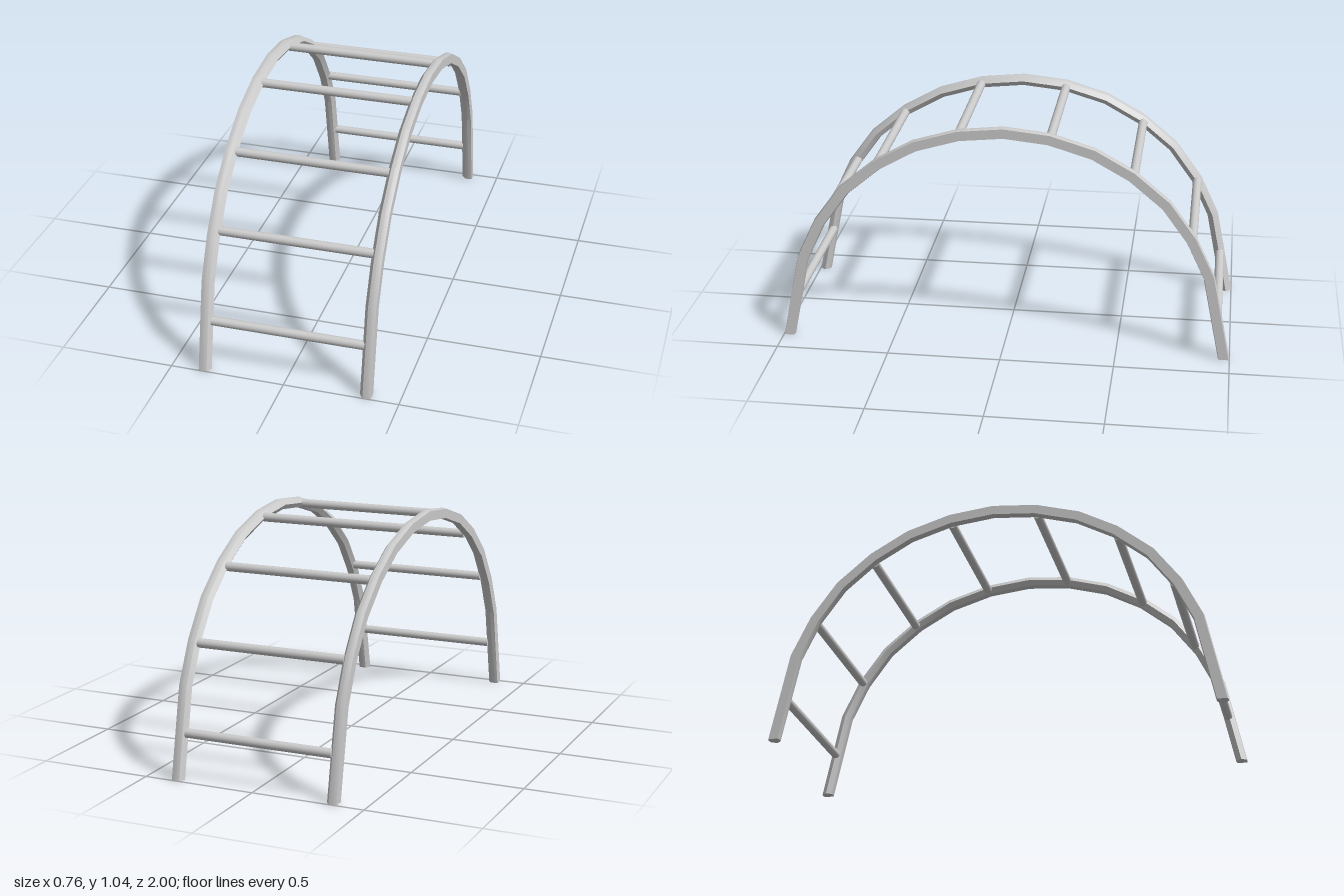
import * as THREE from 'three';
import { toCreasedNormals } from 'three/addons/utils/BufferGeometryUtils.js';

// Half of the arch centre line as [z, y], from the front foot to the crown
const HALF = [[0.975, 0], [0.896, 0.385], [0.814, 0.558], [0.7, 0.715], [0.551, 0.84],
  [0.385, 0.933], [0.195, 0.99], [0, 1.01]];
const PATH = [...HALF, ...HALF.slice(0, -1).reverse().map(([z, y]) => [-z, y])];

// Rail section as [x, outward offset]: flat outside, pointed towards the rungs
const SECTION = [[0.327, 0], [0.343, -0.022], [0.36, -0.025], [0.378, -0.021],
  [0.378, 0.021], [0.36, 0.025], [0.343, 0.022]];

// Rungs as [z, y]
const RUNGS = [[0.926, 0.214], [0.793, 0.579], [0.557, 0.831], [0.196, 0.986],
  [-0.198, 0.986], [-0.557, 0.831], [-0.817, 0.555], [-0.938, 0.195]];

// Outward mitre direction at a path point; the feet are cut level with the ground
function mitre(i) {
  const normal = (k) => {
    const dz = PATH[k + 1][0] - PATH[k][0], dy = PATH[k + 1][1] - PATH[k][1];
    return new THREE.Vector2(dy, -dz).normalize();
  };
  if (i === 0 || i === PATH.length - 1) {
    const n = normal(i === 0 ? 0 : i - 1);
    return new THREE.Vector2(1 / n.x, 0);
  }
  const a = normal(i - 1);
  const m = a.clone().add(normal(i)).normalize();
  return m.divideScalar(m.dot(a));
}

// Sweep the section along the arch and cap both feet
function railGeometry(side) {
  const section = SECTION.map(([x, v]) => [side * x, v]);
  if (side < 0) section.reverse();
  const n = section.length, last = (PATH.length - 1) * n;
  const positions = [], index = [];
  PATH.forEach(([z, y], i) => {
    const m = mitre(i);
    for (const [x, v] of section) positions.push(x, y + m.y * v, z + m.x * v);
  });
  for (let i = 0; i < PATH.length - 1; i++) {
    for (let j = 0; j < n; j++) {
      const a = i * n + j, b = i * n + (j + 1) % n;
      index.push(a, a + n, b + n, a, b + n, b);
    }
  }
  for (let j = 1; j < n - 1; j++) {
    index.push(0, j, j + 1, last, last + j + 1, last + j);
  }
  const geometry = new THREE.BufferGeometry();
  geometry.setAttribute('position', new THREE.Float32BufferAttribute(positions, 3));
  geometry.setIndex(index);
  return toCreasedNormals(geometry, 0.4);
}

export function createModel() {
  const group = new THREE.Group();
  group.name = 'climbingArch';
  const material = new THREE.MeshStandardMaterial({ color: 0xcccccc });

  // Two mirrored arched rails
  for (const side of [1, -1]) {
    const rail = new THREE.Mesh(railGeometry(side), material);
    rail.name = side > 0 ? 'leftRail' : 'rightRail';
    group.add(rail);
  }

  // Round rungs between the rails
  const rungGeometry = new THREE.CylinderGeometry(0.02, 0.02, 0.67, 20).rotateZ(Math.PI / 2);
  RUNGS.forEach(([z, y], i) => {
    const rung = new THREE.Mesh(rungGeometry, material);
    rung.name = `rung${i + 1}`;
    rung.position.set(0, y, z);
    group.add(rung);
  });
  return group;
}
